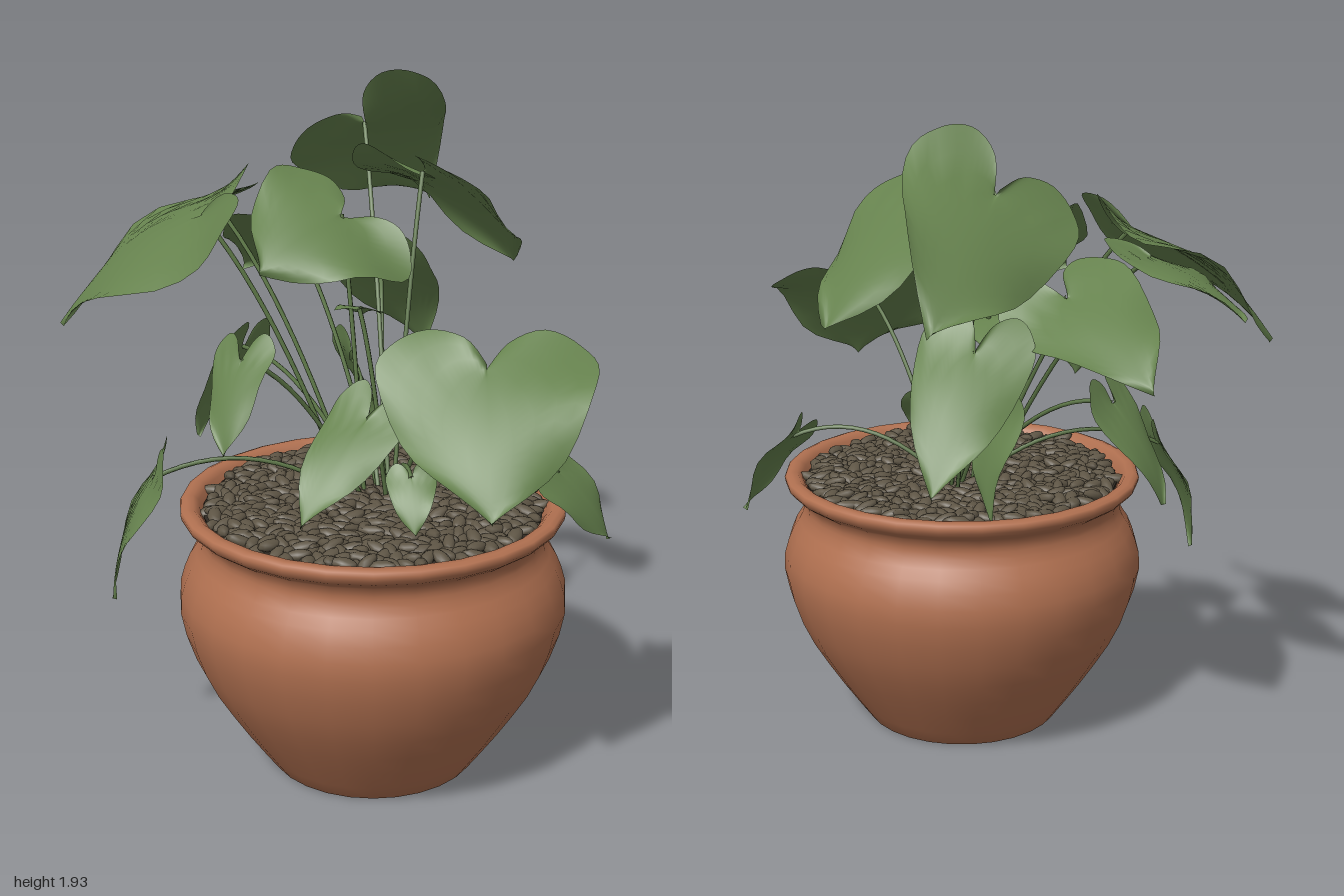
import * as THREE from 'three';
import { mergeGeometries } from 'three/addons/utils/BufferGeometryUtils.js';

const POT_X = 0.11, POT_Z = 0.22;
const UP = new THREE.Vector3(0, 1, 0);

function seeded(seed) {
  return () => {
    seed = (seed * 16807) % 2147483647;
    return seed / 2147483647;
  };
}

// Half outline of a heart-shaped leaf: x across (half width 0.5), y along (tip at 1)
const halfOutline = new THREE.SplineCurve([
  [0, 0], [0.1, -0.2], [0.27, -0.29], [0.43, -0.19], [0.5, 0.03], [0.33, 0.6], [0, 1],
].map(([x, y]) => new THREE.Vector2(x, y)));

// Leaf blade from its stalk joint to its tip, rolled about its midrib, with a bow and wavy sides
function leafGeometry(joint, tip, width, roll, phase) {
  const d = tip.clone().sub(joint);
  const length = d.length();
  d.normalize();
  const s = new THREE.Vector3().crossVectors(d, UP).normalize();
  const n = new THREE.Vector3().crossVectors(s, d).applyAxisAngle(d, roll);
  s.applyAxisAngle(d, roll);
  const rows = 24, cols = 5, span = cols * 2 + 1;
  const pos = [], index = [];
  for (let i = 0; i <= rows; i++) {
    const t = i / rows;
    const edge = halfOutline.getPoint(t);
    for (let j = -cols; j <= cols; j++) {
      const k = Math.abs(j) / cols;
      const a = edge.x * k * Math.sign(j);
      const l = t + (edge.y - t) * k;
      const m = Math.max(l, 0);
      const lift = length * 0.28 * m * (1 - m)
        + width * (0.05 * Math.sin(7 * l + phase + Math.sign(j)) * k * k - 0.25 * a * a);
      const p = joint.clone().addScaledVector(d, l * length)
        .addScaledVector(s, a * width).addScaledVector(n, lift);
      pos.push(p.x, p.y, p.z);
      if (i < rows && j < cols) {
        const q = i * span + j + cols;
        index.push(q, q + 1, q + span, q + 1, q + span + 1, q + span);
      }
    }
  }
  const g = new THREE.BufferGeometry();
  g.setAttribute('position', new THREE.Float32BufferAttribute(pos, 3));
  g.setIndex(index);
  g.computeVertexNormals();
  return g;
}

// Slender stalk rising from the soil and arching over to the leaf
function stalkGeometry(root, joint) {
  const bend = root.clone().lerp(joint, 0.5);
  bend.y += 0.12 + 0.12 * Math.hypot(joint.x - root.x, joint.z - root.z);
  const curve = new THREE.QuadraticBezierCurve3(root, bend, joint);
  return new THREE.TubeGeometry(curve, 14, 0.007, 5);
}

// Adds one leaf and its stalk; the stalk root leans from the crown towards the joint
function addLeaf(parent, name, joint, tip, width, roll, leafMaterial, stalkMaterial) {
  const j = new THREE.Vector3(...joint);
  const phase = 9 * j.x + 5 * j.z;
  const leaf = new THREE.Mesh(
    leafGeometry(j, new THREE.Vector3(...tip), width, roll, phase), leafMaterial);
  leaf.name = name + 'Leaf';
  const root = new THREE.Vector3(
    0.09 + 0.12 * j.x + 0.03 * Math.sin(phase * 3), 0.77,
    0.14 + 0.15 * j.z + 0.03 * Math.cos(phase * 3));
  const stalk = new THREE.Mesh(stalkGeometry(root, j), stalkMaterial);
  stalk.name = name + 'Stalk';
  parent.add(leaf, stalk);
}

// Pebbles laid in a sunflower spiral over the soil
function buildPebbles(material) {
  const rand = seeded(41);
  const parts = [];
  const count = 560;
  for (let i = 0; i < count; i++) {
    const r = 0.475 * Math.sqrt((i + 0.5) / count);
    const a = i * 2.39996;
    const g = new THREE.SphereGeometry(1, 8, 6);
    g.scale(0.036 + 0.01 * rand(), 0.016, 0.018 + 0.005 * rand());
    g.rotateZ((rand() - 0.5) * 0.8);
    g.rotateY(rand() * Math.PI);
    g.translate(POT_X + r * Math.cos(a), 0.777 + 0.015 * rand(), POT_Z + r * Math.sin(a));
    parts.push(g);
  }
  const mesh = new THREE.Mesh(mergeGeometries(parts), material);
  mesh.name = 'pebbles';
  return mesh;
}

// Pot: recessed foot, round belly, narrow neck, flared lip and inner wall
function buildPot(material) {
  const p = (x, y) => new THREE.Vector2(x, y);
  const belly = new THREE.SplineCurve([p(0.305, 0), p(0.41, 0.15), p(0.51, 0.32),
    p(0.56, 0.49), p(0.54, 0.6), p(0.5, 0.67), p(0.492, 0.71)]);
  const lip = new THREE.SplineCurve([p(0.497, 0.735), p(0.545, 0.77), p(0.547, 0.8),
    p(0.505, 0.8), p(0.475, 0.74)]);
  const profile = [p(0, 0.03), p(0.25, 0.03), p(0.275, 0),
    ...belly.getPoints(14), ...lip.getPoints(10)];
  const pot = new THREE.Mesh(new THREE.LatheGeometry(profile, 28), material);
  pot.name = 'pot';
  pot.position.set(POT_X, 0, POT_Z);
  return pot;
}

export function createModel() {
  const group = new THREE.Group();
  group.name = 'pottedPlant';
  const material = (name, color) => {
    const m = new THREE.MeshStandardMaterial({ color });
    m.name = name;
    return m;
  };
  const leafGreen = material('leafGreen', 0x66824e);
  leafGreen.side = THREE.DoubleSide;
  const stalkGreen = material('stalkGreen', 0x5c7646);

  const soil = new THREE.Mesh(
    new THREE.CylinderGeometry(0.485, 0.48, 0.03, 28), material('earth', 0x2e2922));
  soil.name = 'soil';
  soil.position.set(POT_X, 0.762, POT_Z);
  group.add(buildPot(material('terracotta', 0xb07050)), soil,
    buildPebbles(material('stone', 0x5e5545)));

  // Each leaf: joint, tip, width, roll
  const add = (name, joint, tip, width, roll) =>
    addLeaf(group, name, joint, tip, width, roll, leafGreen, stalkGreen);

  // Tall canopy
  add('top', [-0.2, 1.76, -0.37], [-0.17, 1.47, -0.78], 0.5, -0.69);
  add('back', [0.11, 1.68, -0.11], [0.28, 1.37, -0.41], 0.5, 0);
  add('broadRight', [-0.4, 1.58, 0.27], [-0.81, 1.25, 0.4], 0.56, -0.25);
  add('backRight', [-0.33, 1.45, -0.14], [-0.64, 1.27, -0.38], 0.4, 0.4);
  add('lowBack', [-0.14, 1.33, -0.36], [-0.12, 1, -0.65], 0.32, -0.3);
  add('outerRight', [-0.53, 1.55, -0.02], [-0.83, 1.42, -0.16], 0.3, -0.24);
  add('centre', [-0.07, 1.57, 0.05], [-0.19, 1.45, 0.32], 0.52, -0.55);
  add('broadLeft', [0.55, 1.31, 0.47], [0.68, 1, 0.74], 0.57, 0.08);

  // Low young leaves around the crown and over the rim
  add('front', [0.13, 1.06, 0.3], [0.06, 0.82, 0.57], 0.24, -0.26);
  add('frontRight', [-0.15, 1.25, 0.5], [-0.13, 1.02, 0.64], 0.2, 0.33);
  add('hangingFront', [-0.45, 0.86, 0.5], [-0.55, 0.5, 0.58], 0.24, 0.07);
  add('hangingRight', [-0.43, 1.12, 0], [-0.58, 0.82, 0.03], 0.2, 0.42);
  add('hangingLeft', [0.61, 0.9, 0.06], [0.73, 0.68, -0.05], 0.22, 0.72);
  add('inner', [-0.13, 1.08, -0.14], [-0.15, 0.82, -0.27], 0.24, 0.89);
  add('small', [0.31, 0.95, 0.4], [0.36, 0.82, 0.48], 0.14, 0.17);
  add('youngest', [0.02, 1.32, 0.12], [-0.04, 1.26, -0.03], 0.14, 0.1);
  return group;
}
